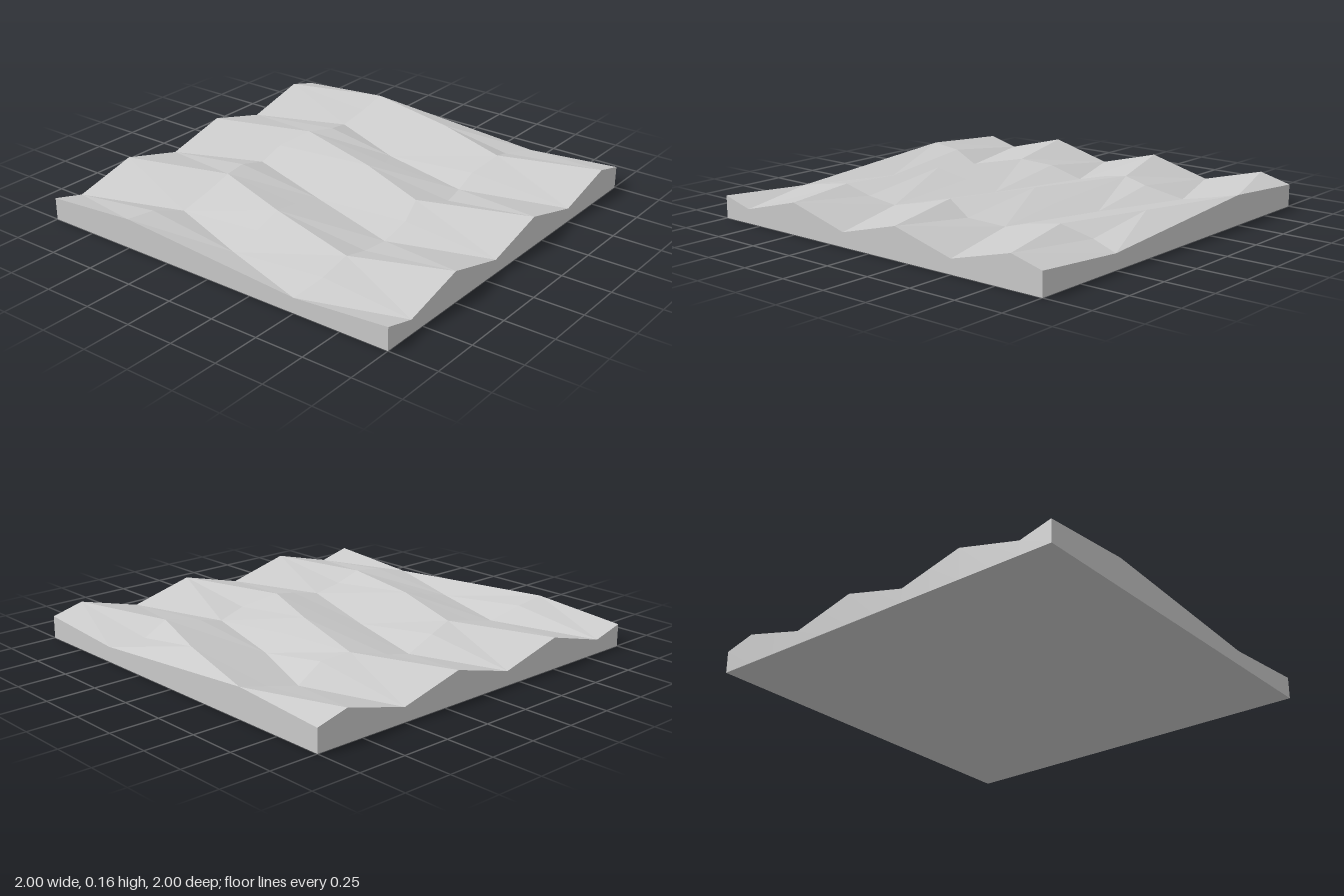
import * as THREE from 'three';

const COLS = 12, ROWS = 4;

// z of each column along the three inner fold rows
const FOLD_Z = {
  1: [-0.5, -0.5, -0.46, -0.46, -0.47, -0.52, -0.54, -0.55, -0.49, -0.45, -0.51, -0.5, -0.5],
  2: [0, 0.01, 0.01, 0, -0.03, -0.04, 0.01, 0.03, 0.03, -0.06, 0.04, 0.05, 0],
  3: [0.5, 0.53, 0.52, 0.51, 0.5, 0.5, 0.45, 0.52, 0.465, 0.45, 0.48, 0.44, 0.5],
};
// small sideways shifts of single fold points, keyed "row,column"
const SHIFT_X = {
  '1,6': 0.01, '1,8': 0.01, '1,9': -0.01, '1,10': 0.01, '1,11': 0.01, '2,3': -0.01,
  '2,5': 0.015, '2,8': -0.01, '2,9': -0.01, '2,10': -0.015, '2,11': 0.01,
  '3,2': 0.015, '3,6': -0.01, '3,8': 0.015, '3,9': -0.01, '3,10': 0.015,
};

// Height of a zigzag wave that steps sideways from row to row
function height(i, j) {
  const wave = -Math.round(Math.sin((Math.PI / 2) * (i - Math.round(Math.sin((Math.PI / 2) * j)))));
  const inner = j % 2 === 1;
  let h = 0.114 + wave * (inner ? 0.037 : 0.043);
  // bulge or sink the falling flanks of the inner folds
  if (j === 1 && i % 4 === 1) h += 0.017;
  if (j === 3 && i % 4 === 3) h -= 0.014;
  if (j === 3 && i === 2) h -= 0.01;
  return h;
}

function point(i, j) {
  const x = -1 + i / 6 + (SHIFT_X[`${j},${i}`] || 0);
  const z = FOLD_Z[j] ? FOLD_Z[j][i] : -1 + j / 2;
  return new THREE.Vector3(x, height(i, j), z);
}

const floor = (p) => new THREE.Vector3(p.x, 0, p.z);

function meshFrom(name, triangles, material) {
  const geometry = new THREE.BufferGeometry().setFromPoints(triangles);
  geometry.computeVertexNormals();
  const mesh = new THREE.Mesh(geometry, material);
  mesh.name = name;
  return mesh;
}

export function createModel() {
  const stone = new THREE.MeshStandardMaterial({ color: 0xcccccc });
  stone.name = 'light grey';
  stone.flatShading = true;
  const group = new THREE.Group();
  group.name = 'foldedTile';

  // Folded top, with diagonals alternating like a chequerboard
  const top = [];
  for (let j = 0; j < ROWS; j++) {
    for (let i = 0; i < COLS; i++) {
      const a = point(i, j), b = point(i + 1, j), c = point(i, j + 1), d = point(i + 1, j + 1);
      if ((i + j) % 2) top.push(a, c, d, a, d, b);
      else top.push(a, c, b, b, c, d);
    }
  }
  group.add(meshFrom('foldedTop', top, stone));

  // Upright walls following the edge of the top
  const edge = [];
  for (let i = 0; i < COLS; i++) edge.push(point(i, ROWS));
  for (let j = ROWS; j > 0; j--) edge.push(point(COLS, j));
  for (let i = COLS; i > 0; i--) edge.push(point(i, 0));
  for (let j = 0; j < ROWS; j++) edge.push(point(0, j));
  const walls = [];
  edge.forEach((p, k) => {
    const q = edge[(k + 1) % edge.length];
    walls.push(p, floor(p), floor(q), p, floor(q), q);
  });
  group.add(meshFrom('sideWalls', walls, stone));

  // Flat underside
  const base = new THREE.Mesh(new THREE.PlaneGeometry(2, 2).rotateX(Math.PI / 2), stone);
  base.name = 'underside';
  group.add(base);
  return group;
}
